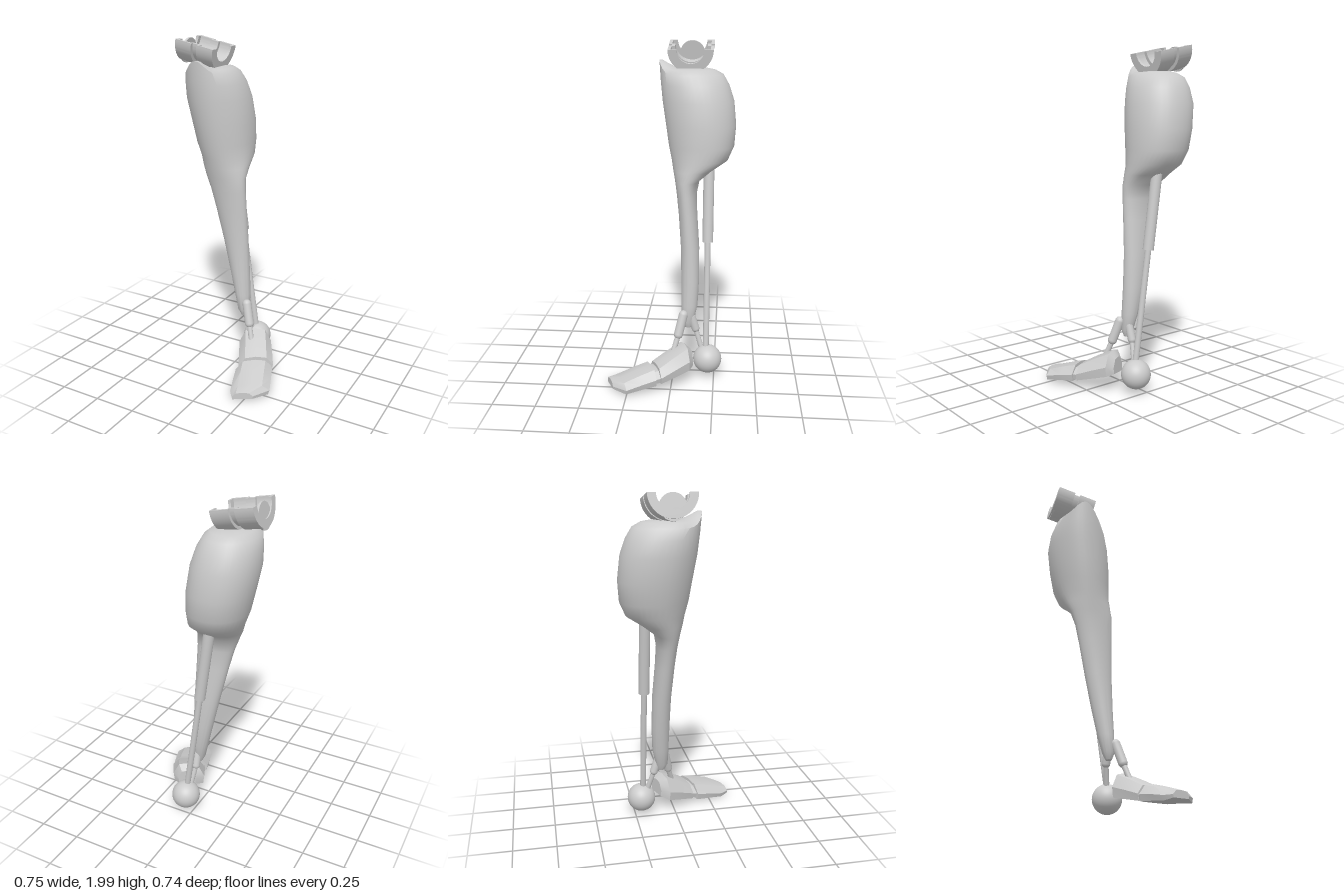
import * as THREE from 'three';
import { toCreasedNormals } from 'three/addons/utils/BufferGeometryUtils.js';

const grey = new THREE.MeshStandardMaterial({ color: 0xcccccc });

function part(geometry, name, parent) {
  const mesh = new THREE.Mesh(geometry, grey);
  mesh.name = name;
  parent.add(mesh);
  return mesh;
}

// Skin closed rings of points and cap both ends
function loft(rings, crease) {
  const n = rings[0].length;
  const pos = [];
  const tri = (...pts) => pts.forEach((p) => pos.push(p.x, p.y, p.z));
  const centre = (ring) => ring.reduce((s, p) => s.add(p), new THREE.Vector3()).divideScalar(n);
  const first = rings[0], last = rings[rings.length - 1];
  const c0 = centre(first), c1 = centre(last);
  for (let j = 0; j < n; j++) {
    const k = (j + 1) % n;
    for (let i = 0; i < rings.length - 1; i++) {
      const a = rings[i], b = rings[i + 1];
      tri(a[j], a[k], b[k]);
      tri(a[j], b[k], b[j]);
    }
    tri(c0, first[k], first[j]);
    tri(c1, last[j], last[k]);
  }
  const g = new THREE.BufferGeometry();
  g.setAttribute('position', new THREE.Float32BufferAttribute(pos, 3));
  return toCreasedNormals(g, crease);
}

// Round-ended rod between two points
function rod(a, b, r, name, parent) {
  const p = new THREE.Vector3(...a), q = new THREE.Vector3(...b);
  const dir = q.clone().sub(p);
  const mesh = part(new THREE.CapsuleGeometry(r, dir.length(), 6, 20), name, parent);
  mesh.position.copy(p).add(q).multiplyScalar(0.5);
  mesh.quaternion.setFromUnitVectors(new THREE.Vector3(0, 1, 0), dir.normalize());
}

// Shin and calf: y, x min, x max, z front, z back, front lip height
function legGeometry() {
  const rows = [
    [0.31, 0.0, 0.035, -0.07, -0.11, 0],
    [0.35, -0.02, 0.05, -0.05, -0.125, 0],
    [0.45, -0.045, 0.05, -0.047, -0.145, 0],
    [0.6, -0.08, 0.043, -0.045, -0.152, 0],
    [0.8, -0.125, 0.035, -0.04, -0.15, 0],
    [1.0, -0.17, 0.03, -0.025, -0.135, 0],
    [1.12, -0.2, 0.027, -0.012, -0.13, 0],
    [1.2, -0.23, 0.025, 0.0, -0.145, 0],
    [1.26, -0.26, 0.025, 0.012, -0.22, 0],
    [1.32, -0.285, 0.025, 0.022, -0.31, 0],
    [1.4, -0.315, 0.025, 0.04, -0.345, 0],
    [1.52, -0.34, 0.022, 0.058, -0.354, 0],
    [1.66, -0.363, 0.005, 0.08, -0.34, 0],
    [1.75, -0.355, -0.02, 0.092, -0.31, 0.03],
    [1.81, -0.335, -0.05, 0.1, -0.275, 0.08],
    [1.835, -0.3, -0.08, 0.08, -0.23, 0.055],
    [1.845, -0.27, -0.13, 0.0, -0.18, 0],
  ];
  const n = 36;
  const bulge = (v) => Math.sign(v) * Math.abs(v) ** 0.92;
  const rings = rows.map(([y, x0, x1, zf, zb, lip]) =>
    Array.from({ length: n }, (_, j) => {
      const t = (j / n) * Math.PI * 2;
      const front = Math.max(0, -Math.sin(t));
      const taper = 1 - 0.18 * front * front;
      return new THREE.Vector3(
        (x0 + x1) / 2 + ((x1 - x0) / 2) * bulge(Math.cos(t)) * taper - 0.1 * lip * front,
        y + lip * front ** 6,
        (zf + zb) / 2 - ((zf - zb) / 2) * bulge(Math.sin(t))
      );
    })
  );
  return loft(rings, 0.75);
}

// Foot block: z, half width, bottom, top, sideways shift
function footBlock(rows) {
  const outline = [[-0.93, 0], [0.93, 0], [1, 0.4], [0.62, 0.9], [0, 1], [-0.62, 0.9], [-1, 0.4]];
  const rings = rows.map(([z, w, y0, y1, cx]) =>
    outline.map(([u, v]) => new THREE.Vector3(cx + u * w, y0 + v * (y1 - y0) + 0.08 * u * w, z))
  );
  return loft(rings, 0.55);
}

// Half ring running along x from x0 to x1, open at the top
function cupBand(x0, x1, outer, inner) {
  const s = new THREE.Shape();
  s.absarc(0, 0, outer, Math.PI, Math.PI * 2, false);
  s.absarc(0, 0, inner, Math.PI * 2, Math.PI, true);
  s.closePath();
  const g = new THREE.ExtrudeGeometry(s, { depth: x1 - x0, bevelEnabled: false, curveSegments: 24 });
  g.rotateY(Math.PI / 2);
  g.translate(x0, 0, 0);
  return toCreasedNormals(g, 0.5);
}

export function createModel() {
  const model = new THREE.Group();
  model.name = 'mechanicalLeg';

  part(legGeometry(), 'shinAndCalf', model);

  // Knee cup: two wide bands, a narrow bridge and end rims
  const knee = new THREE.Group();
  knee.name = 'kneeJoint';
  knee.position.set(-0.235, 1.973, -0.085);
  knee.rotation.z = -0.2;
  model.add(knee);
  part(cupBand(-0.125, -0.02, 0.134, 0.115), 'kneeBandRight', knee);
  part(cupBand(0.015, 0.12, 0.132, 0.115), 'kneeBandLeft', knee);
  part(cupBand(-0.03, 0.025, 0.115, 0.095), 'kneeBridge', knee);
  part(cupBand(-0.125, -0.108, 0.12, 0.088), 'kneeRimRight', knee);
  part(cupBand(0.105, 0.12, 0.12, 0.08), 'kneeRimLeft', knee);
  const disc = part(new THREE.CylinderGeometry(0.073, 0.073, 0.012, 32), 'kneeBearing', knee);
  disc.rotation.z = Math.PI / 2;
  disc.position.set(-0.112, -0.073, 0);

  // Piston behind the calf, ending in the heel ball
  const top = new THREE.Vector3(-0.11, 1.27, -0.2);
  const end = new THREE.Vector3(0.05, 0.15, -0.2);
  const mid = top.clone().lerp(end, 0.39);
  const sleeve = part(new THREE.CylinderGeometry(0.032, 0.032, top.distanceTo(mid), 24), 'pistonSleeve', model);
  sleeve.position.copy(top).add(mid).multiplyScalar(0.5);
  sleeve.quaternion.setFromUnitVectors(new THREE.Vector3(0, 1, 0), top.clone().sub(end).normalize());
  const cap = part(new THREE.SphereGeometry(0.032, 24, 16), 'pistonCap', model);
  cap.position.copy(top);
  rod(mid.toArray(), end.toArray(), 0.018, 'pistonRod', model);
  const ball = part(new THREE.SphereGeometry(0.086, 40, 28), 'heelBall', model);
  ball.position.set(0.05, 0.117, -0.21);

  // Ankle struts: thick link on a thin pin
  rod([0.05, 0.4, -0.062], [0.083, 0.285, -0.035], 0.027, 'ankleLinkFront', model);
  rod([0.083, 0.285, -0.035], [0.112, 0.19, -0.008], 0.016, 'anklePinFront', model);
  rod([0.02, 0.38, -0.11], [0.018, 0.3, -0.135], 0.024, 'ankleLinkBack', model);
  rod([0.018, 0.3, -0.135], [0.035, 0.17, -0.175], 0.015, 'anklePinBack', model);

  // Foot, turned outward
  const foot = new THREE.Group();
  foot.name = 'foot';
  foot.position.set(0.18, 0, 0);
  foot.rotation.y = 0.42;
  model.add(foot);
  part(footBlock([
    [-0.13, 0.055, 0.11, 0.205, -0.03],
    [-0.095, 0.098, 0.095, 0.24, -0.038],
    [0.0, 0.103, 0.072, 0.195, -0.03],
    [0.09, 0.105, 0.05, 0.145, -0.023],
  ]), 'heelBlock', foot);
  part(footBlock([
    [0.08, 0.095, 0.055, 0.125, -0.025],
    [0.13, 0.098, 0.05, 0.12, -0.03],
  ]), 'footHinge', foot);
  part(footBlock([
    [0.118, 0.11, 0.04, 0.14, -0.032],
    [0.2, 0.113, 0.03, 0.115, -0.038],
    [0.3, 0.115, 0.015, 0.08, -0.045],
    [0.355, 0.062, 0.018, 0.06, -0.085],
  ]), 'toeBlock', foot);

  return model;
}
